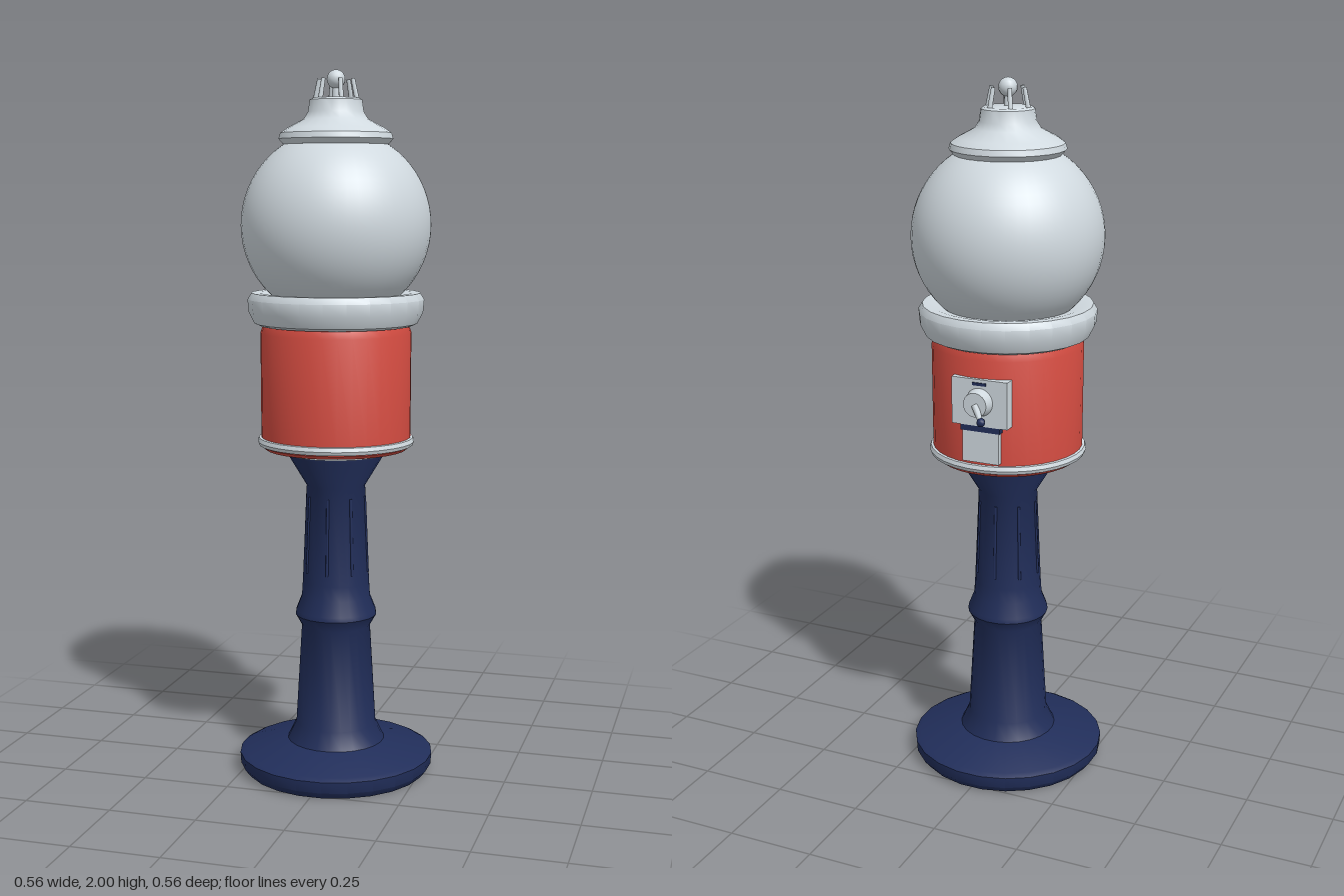
import * as THREE from 'three';
import { toCreasedNormals } from 'three/addons/utils/BufferGeometryUtils.js';

export function createModel() {
  const model = new THREE.Group();
  model.name = 'gumballMachine';

  const mat = (name, color) => {
    const m = new THREE.MeshStandardMaterial({ color });
    m.name = name;
    return m;
  };
  const silver = mat('silver', 0xd0d9df);
  const red = mat('red', 0xd44c41);
  const navy = mat('navy', 0x212e5a);

  const add = (name, geometry, material, x = 0, y = 0, z = 0, parent = model) => {
    const mesh = new THREE.Mesh(geometry, material);
    mesh.name = name;
    mesh.position.set(x, y, z);
    parent.add(mesh);
    return mesh;
  };
  // Turned part from [radius, height] pairs, listed from the bottom up
  const turned = (name, profile, material, sides = 24) => {
    const points = profile.map(([r, y]) => new THREE.Vector2(r, y));
    const g = new THREE.LatheGeometry(points, sides, Math.PI / sides);
    return add(name, toCreasedNormals(g, 0.65), material);
  };
  // Round bar between two points
  const bar = (name, a, b, r0, r1, material, parent) => {
    const dir = b.clone().sub(a);
    const mesh = add(name, new THREE.CylinderGeometry(r1, r0, dir.length(), 8), material, 0, 0, 0, parent);
    mesh.position.copy(a).add(b).multiplyScalar(0.5);
    mesh.quaternion.setFromUnitVectors(new THREE.Vector3(0, 1, 0), dir.normalize());
    return mesh;
  };

  // Pedestal: foot, waisted column and flared head
  turned('pedestal', [
    [0, 0], [0.262, 0], [0.278, 0.02], [0.28, 0.052], [0.265, 0.06], [0.14, 0.09],
    [0.116, 0.14], [0.099, 0.43], [0.117, 0.462], [0.115, 0.475], [0.099, 0.515],
    [0.096, 0.56], [0.084, 0.84], [0.135, 0.925], [0.135, 0.94], [0, 0.94],
  ], navy);

  // Slim ribs on the upper column
  const ribs = new THREE.Group();
  ribs.name = 'columnRibs';
  model.add(ribs);
  for (let i = 0; i < 8; i++) {
    const a = (i / 8) * Math.PI * 2;
    const at = (r, y) => new THREE.Vector3(Math.sin(a) * r, y, Math.cos(a) * r);
    bar('columnRib', at(0.094, 0.59), at(0.085, 0.81), 0.004, 0.004, navy, ribs);
  }

  // Body with its trim rings
  turned('neckRing', [[0, 0.932], [0.145, 0.932], [0.145, 0.946], [0, 0.946]], silver);
  turned('body', [
    [0, 0.945], [0.2, 0.945], [0.212, 0.955], [0.213, 1.275], [0.206, 1.295], [0, 1.3],
  ], red, 32);
  turned('bodyRing', [
    [0.205, 0.957], [0.219, 0.958], [0.223, 0.968], [0.219, 0.979], [0.208, 0.981],
  ], silver, 32);

  // Collar, globe and cap
  turned('collar', [
    [0, 1.296], [0.215, 1.296], [0.23, 1.303], [0.246, 1.335], [0.249, 1.37],
    [0.238, 1.388], [0.215, 1.388], [0.17, 1.378],
  ], silver);
  add('globe', new THREE.SphereGeometry(0.266, 48, 32), silver, 0, 1.575, 0);
  turned('cap', [
    [0.12, 1.795], [0.147, 1.797], [0.16, 1.812], [0.155, 1.828], [0.135, 1.842],
    [0.09, 1.866], [0.078, 1.885], [0.073, 1.918], [0.066, 1.923], [0, 1.926],
  ], silver);

  // Crown prongs around a ball finial
  const crown = new THREE.Group();
  crown.name = 'crown';
  model.add(crown);
  for (let i = 0; i < 6; i++) {
    const a = (i / 6) * Math.PI * 2;
    const at = (r, y) => new THREE.Vector3(Math.cos(a) * r, y, Math.sin(a) * r);
    bar('crownProng', at(0.06, 1.918), at(0.048, 1.975), 0.007, 0.006, silver, crown);
  }
  add('finialStem', new THREE.CylinderGeometry(0.009, 0.012, 0.05, 10), silver, 0, 1.94, 0, crown);
  add('finial', new THREE.SphereGeometry(0.026, 14, 10), silver, 0, 1.974, 0, crown);

  // Coin mechanism on the back of the body
  const coin = new THREE.Group();
  coin.name = 'coinMechanism';
  model.add(coin);
  const cx = -0.015;
  add('coinPlate', new THREE.BoxGeometry(0.165, 0.132, 0.032), silver, cx, 1.16, -0.206, coin);
  add('coinSlot', new THREE.BoxGeometry(0.04, 0.008, 0.006), navy, cx, 1.213, -0.222, coin);
  const dial = add('dial', new THREE.CylinderGeometry(0.034, 0.04, 0.032, 24), silver, cx, 1.162, -0.236, coin);
  dial.rotation.x = -Math.PI / 2;
  const hub = new THREE.Vector3(cx, 1.162, -0.25);
  const tip = new THREE.Vector3(-0.041, 1.122, -0.268);
  bar('dialHandle', hub, tip, 0.01, 0.007, silver, coin);
  add('handleKnob', new THREE.SphereGeometry(0.0125, 8, 6), navy, tip.x, tip.y, tip.z, coin);

  // Dispensing chute with its flap
  add('chuteHood', new THREE.BoxGeometry(0.116, 0.018, 0.022), navy, cx, 1.086, -0.208, coin);
  add('chuteFlap', new THREE.BoxGeometry(0.108, 0.09, 0.02), silver, cx, 1.033, -0.207, coin);

  return model;
}
